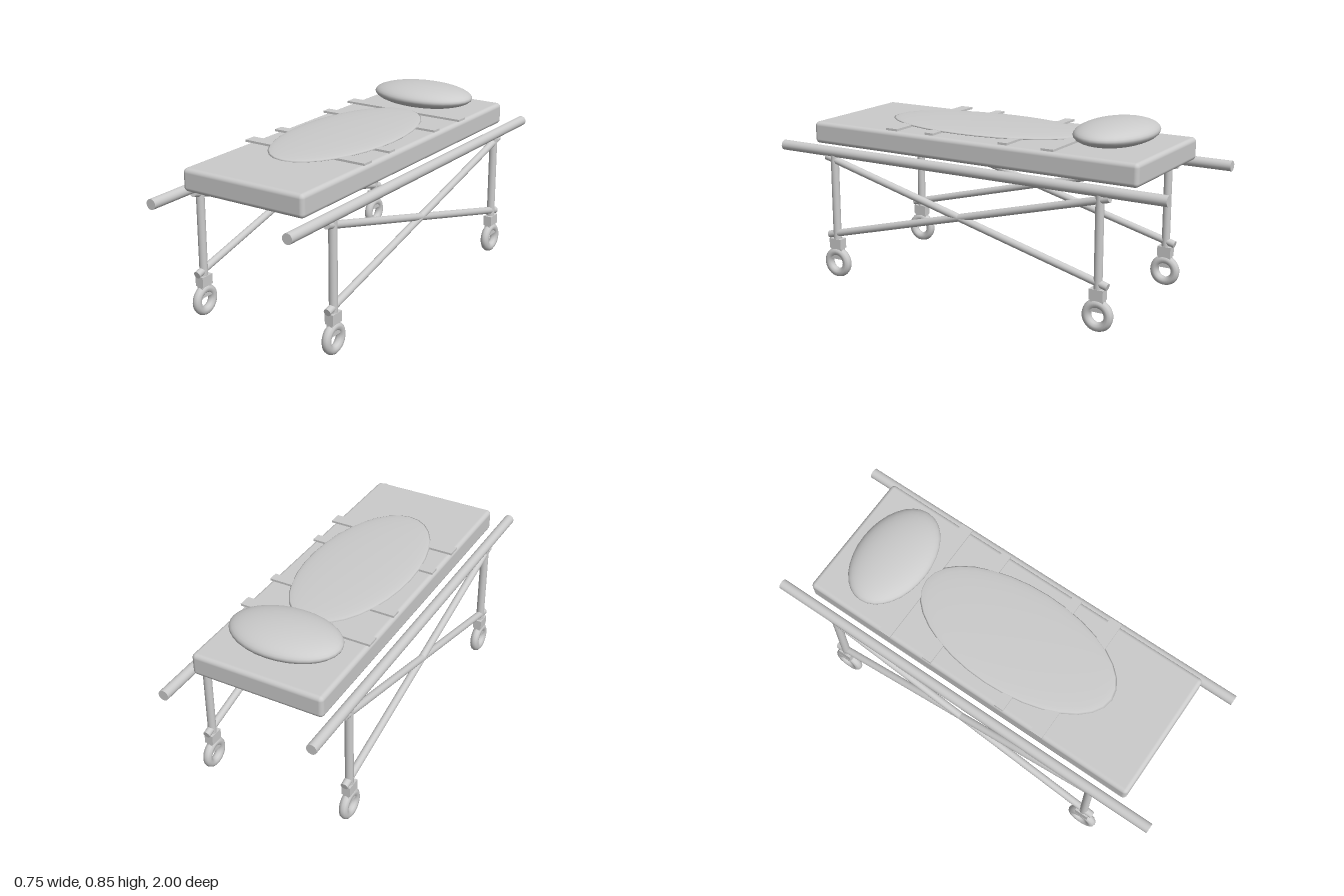
import * as THREE from 'three';
import { RoundedBoxGeometry } from 'three/addons/geometries/RoundedBoxGeometry.js';

export function createModel() {
  const group = new THREE.Group();
  const grey = new THREE.MeshStandardMaterial({ color: 0xcccccc });
  grey.name = 'plain grey';

  function add(name, geometry, x, y, z) {
    const mesh = new THREE.Mesh(geometry, grey);
    mesh.name = name;
    mesh.position.set(x, y, z);
    group.add(mesh);
    return mesh;
  }

  // Round bar between two points
  function bar(name, a, b, radius) {
    const dir = b.clone().sub(a);
    const mid = a.clone().add(b).multiplyScalar(0.5);
    const mesh = add(name, new THREE.CylinderGeometry(radius, radius, dir.length(), 20), mid.x, mid.y, mid.z);
    mesh.quaternion.setFromUnitVectors(new THREE.Vector3(0, 1, 0), dir.normalize());
  }
  const v = (x, y, z) => new THREE.Vector3(x, y, z);

  // Mattress, pillow and blanket
  add('mattress', new RoundedBoxGeometry(0.624, 0.104, 1.69, 3, 0.02), 0, 0.685, 0);
  add('pillow', new THREE.SphereGeometry(1, 32, 20).scale(0.26, 0.056, 0.172), 0, 0.792, -0.598);
  add('blanket', new THREE.SphereGeometry(1, 32, 16).scale(0.25, 0.017, 0.5), 0, 0.751, 0.07);

  // Straps: wide ones at the ends, narrow ones between
  for (const [z, width, length] of [[-0.425, 0.06, 0.634], [0.385, 0.06, 0.634], [-0.2, 0.046, 0.62], [0.185, 0.046, 0.62]])
    add('strap', new THREE.BoxGeometry(length, 0.01, width), 0, 0.748, z);

  for (const x of [-0.35, 0.35]) {
    // Side rail and crossed braces
    bar('rail', v(x, 0.614, -1), v(x, 0.614, 1), 0.024);
    for (const s of [-1, 1])
      bar('brace', v(x, 0.205, -0.74 * s), v(x, 0.588, 0.74 * s), 0.017);

    // Legs with castors
    for (const z of [-0.695, 0.695]) {
      bar('leg', v(x, 0.15, z), v(x, 0.612, z), 0.019);
      add('castorFork', new THREE.BoxGeometry(0.042, 0.048, 0.066), x, 0.168, z);
      add('castorStem', new THREE.BoxGeometry(0.028, 0.07, 0.062), x, 0.125, z);
      const wheel = add('wheel', new THREE.TorusGeometry(0.052, 0.021, 10, 32), x, 0.073, z);
      wheel.rotation.y = Math.PI / 2;
    }
  }
  return group;
}
